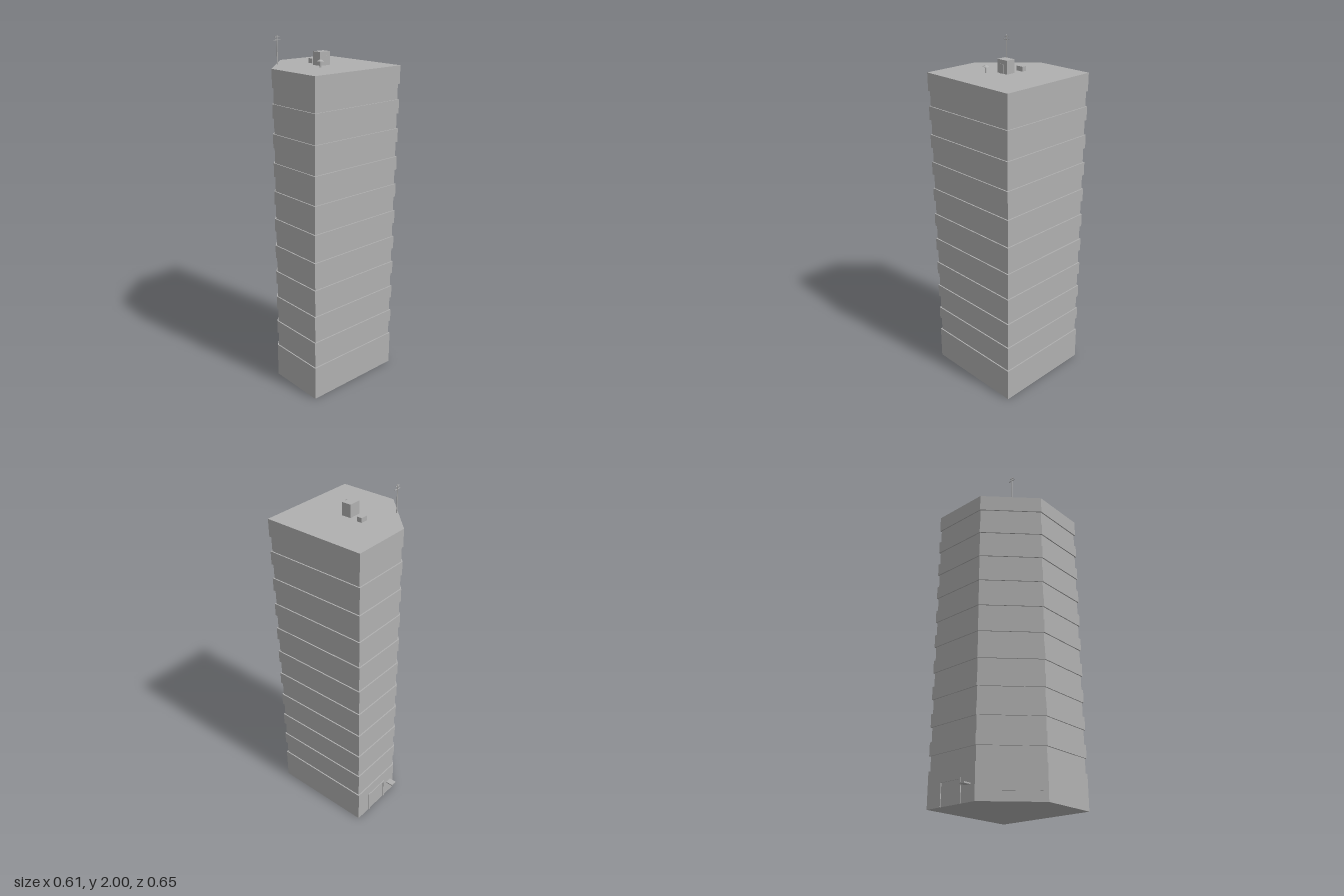
import * as THREE from 'three';

export function createModel() {
  const tower = new THREE.Group();
  tower.name = 'tower';
  const grey = new THREE.MeshStandardMaterial({ color: 0xb0b0b0 });
  grey.name = 'concrete grey';

  const add = (name, geometry, x = 0, y = 0, z = 0, parent = tower) => {
    const mesh = new THREE.Mesh(geometry, grey);
    mesh.name = name;
    mesh.position.set(x, y, z);
    parent.add(mesh);
    return mesh;
  };
  const group = (name, x, y, z) => {
    const g = new THREE.Group();
    g.name = name;
    g.position.set(x, y, z);
    tower.add(g);
    return g;
  };
  const box = (w, h, d) => new THREE.BoxGeometry(w, h, d);

  // Five-sided floor plan with one chamfered back corner, inset by d
  const slab = (height, d) => {
    const k = d * (Math.SQRT2 - 1);
    const plan = [
      [-0.306 + d, 0.325 - d], [0.306 - d, 0.325 - d], [0.306 - d, -0.283 + d],
      [-0.043 + k, -0.283 + d], [-0.306 + d, -0.02 + k],
    ].map(([x, z]) => new THREE.Vector2(x, -z));
    const g = new THREE.ExtrudeGeometry(new THREE.Shape(plan), { depth: height, bevelEnabled: false });
    return g.rotateX(-Math.PI / 2);
  };

  // Storeys: recessed window bands between projecting wall bands
  const roof = 1.845, pitch = 0.162, recess = 0.085, first = 0.202, count = 10;
  add('groundFloor', slab(first, 0));
  for (let i = 0; i < count; i++) {
    const y = first + i * pitch;
    const top = i === count - 1 ? roof : y + pitch;
    add('windowBand', slab(recess, 0.007), 0, y, 0);
    add('wallBand', slab(top - y - recess, 0), 0, y + recess, 0);
  }

  // Back entrance: door frame and small canopy
  const door = group('doorFrame', 0.132, 0, -0.283);
  for (const s of [-1, 1]) add('doorPost', box(0.009, 0.135, 0.01), s * 0.073, 0.0675, 0, door);
  add('doorLintel', box(0.137, 0.009, 0.01), 0, 0.1305, 0, door);
  add('canopy', box(0.038, 0.008, 0.05), 0.006, 0.092, -0.303);

  // Wide panel on the chamfered wall
  const panel = add('wallPanel', box(0.312, 0.075, 0.008), -0.1755, 0.0925, -0.1505);
  panel.rotation.y = Math.PI / 4;

  // Roof hut with its door, and a low equipment box
  add('roofHut', box(0.072, 0.073, 0.056), -0.005, roof + 0.0365, 0.031);
  add('hutDoor', box(0.025, 0.05, 0.003), -0.007, roof + 0.025, 0.06);
  add('equipmentBox', box(0.044, 0.026, 0.029), 0.018, roof + 0.013, -0.063);

  // Mushroom vent
  const vent = group('roofVent', -0.08, roof, 0.108);
  add('ventPipe', new THREE.CylinderGeometry(0.005, 0.005, 0.034, 8), 0, 0.017, 0, vent);
  add('ventCap', new THREE.CylinderGeometry(0.005, 0.019, 0.009, 8).toNonIndexed(), 0, 0.037, 0, vent)
    .geometry.computeVertexNormals();

  // Antenna mast with two crossbars
  const mast = group('antenna', -0.174, roof, -0.14);
  add('mastPole', new THREE.CylinderGeometry(0.003, 0.003, 0.155, 8), 0, 0.0775, 0, mast);
  add('crossbar', box(0.046, 0.003, 0.003), 0, 0.13, 0, mast);
  add('crossbar', box(0.03, 0.003, 0.003), 0, 0.146, 0, mast);

  return tower;
}
